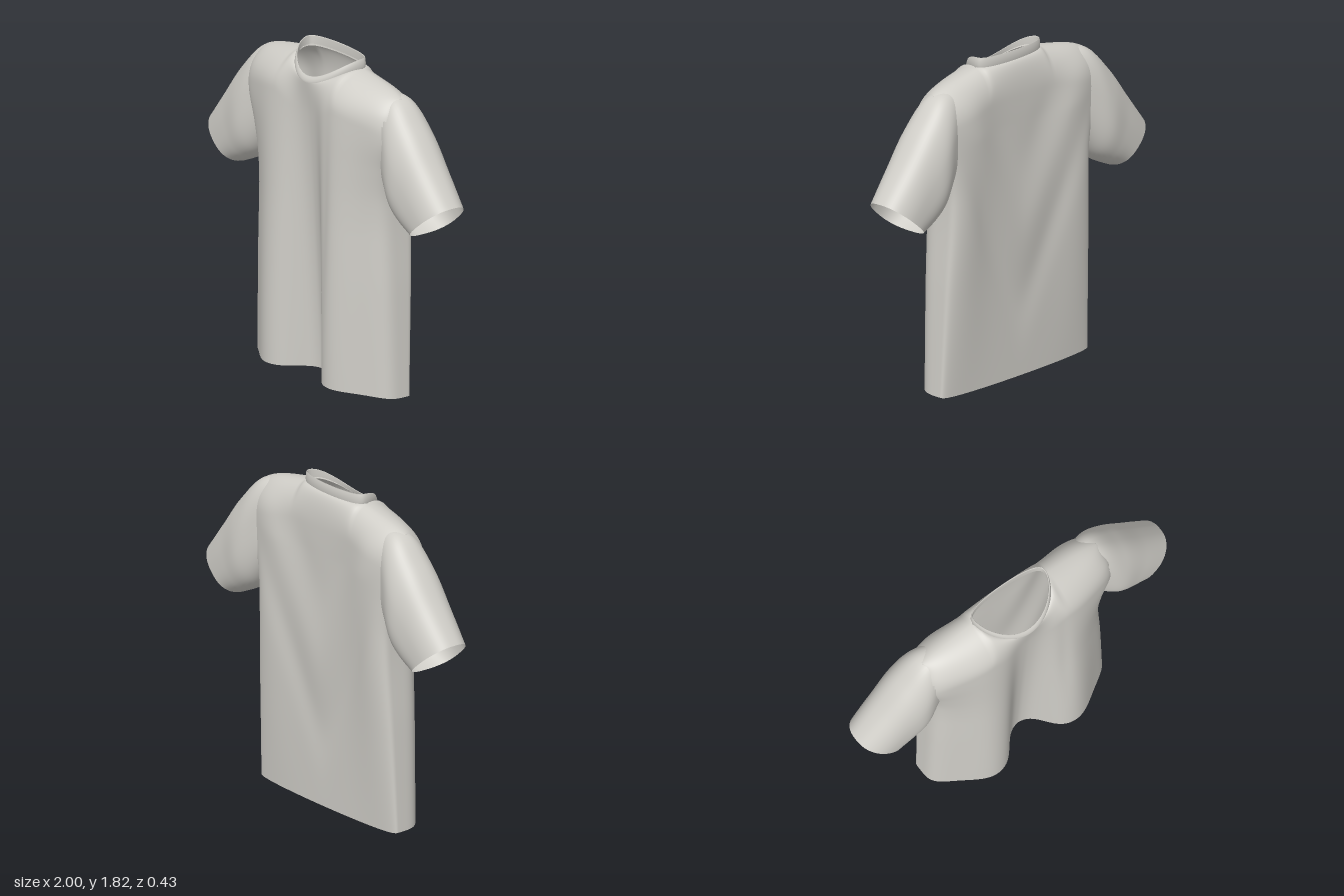
import * as THREE from 'three';
import { mergeVertices } from 'three/addons/utils/BufferGeometryUtils.js';

const { lerp, clamp, smoothstep } = THREE.MathUtils;
const bump = (x, c, w, p = 2) => Math.exp(-(Math.abs((x - c) / w) ** p));
const spow = (v, e) => Math.sign(v) * Math.abs(v) ** e;

// smooth interpolation through [key, value] pairs
function track(pairs, t) {
  let i = 0;
  while (i < pairs.length - 2 && t > pairs[i + 1][0]) i++;
  const [a, b] = [pairs[i], pairs[i + 1]];
  const k = clamp((t - a[0]) / (b[0] - a[0]), 0, 1);
  const slope = (j) => {
    const p = pairs[Math.max(j - 1, 0)], q = pairs[Math.min(j + 1, pairs.length - 1)];
    return (q[1] - p[1]) / (q[0] - p[0]) * (b[0] - a[0]);
  };
  const k2 = k * k, k3 = k2 * k;
  return (2 * k3 - 3 * k2 + 1) * a[1] + (k3 - 2 * k2 + k) * slope(i)
    + (3 * k2 - 2 * k3) * b[1] + (k3 - k2) * slope(i + 1);
}

// closed tube of cloth: point(angle, v) gives [x, y, z]; skip drops cells
function loft(cols, rows, point, skip = () => false) {
  const pos = [], index = [];
  for (let j = 0; j <= rows; j++) {
    for (let i = 0; i < cols; i++) pos.push(...point((i / cols) * Math.PI * 2, j / rows));
  }
  for (let j = 0; j < rows; j++) {
    for (let i = 0; i < cols; i++) {
      const a = j * cols + i, b = j * cols + (i + 1) % cols, c = a + cols, d = b + cols;
      if (!skip(pos[a * 3], pos[a * 3 + 1])) index.push(a, c, b, b, c, d);
    }
  }
  let geo = new THREE.BufferGeometry();
  geo.setAttribute('position', new THREE.Float32BufferAttribute(pos, 3));
  geo.setIndex(index);
  geo = mergeVertices(geo, 1e-4);
  geo.computeVertexNormals();
  return geo;
}

// neckline ring shared by the body and the collar
const NECK = 0.235, SEAM_Z = -0.04, NECK_Y = 1.768;
const neckZ = (x, front) => {
  const r = Math.sqrt(Math.max(0, 1 - (x / NECK) ** 2));
  return front ? SEAM_Z + 0.192 * r ** 1.15 : SEAM_Z - 0.07 * r ** 0.7;
};
const neckY = (z) => NECK_Y - 0.095 * Math.max(0, (z - SEAM_Z) / 0.192) ** 2.1;

const SHOULDER = 0.57, SIDE_Z = -0.07;
const WIDTH = [[0, 0.572], [0.6, 0.554], [1.1, 0.534], [1.3, 0.558], [1.47, 0.602], [1.6, 0.594], [1.69, SHOULDER], [1.9, SHOULDER]];
const FRONT = [[0, 0.13], [1, 0.148], [1.4, 0.153], [1.7, 0.155], [1.9, 0.15]];
const BACK = [[0, -0.13], [0.6, -0.142], [1, -0.148], [1.4, -0.153], [1.7, -0.156], [1.9, -0.155]];
const BLADE = [[0, 0], [0.5, 0.026], [1, 0.052], [1.4, 0.052], [1.7, 0.03], [1.9, 0.02]];

// front cloth: two hanging bulges with a deep fold between them
function frontZ(x, y, c) {
  const low = 1 - (y / 1.9) ** 1.6, fold = Math.max(0, 1 - y / 1.7) ** 0.65;
  return SIDE_Z + (track(FRONT, y) - SIDE_Z) * c ** lerp(0.5, 0.32, smoothstep(y, 0.9, 1.45))
    + 0.093 * low * bump(Math.abs(x), 0.275, 0.17) * c ** 0.3
    - 0.098 * fold * bump(x, 0, 0.13, 3)
    - 0.008 * bump(y, 1.0, 0.55) * bump(x, 0.2, 0.04);
}

// back cloth: hollow along the spine, full at the blades, with soft V drapes
function backZ(x, y, c) {
  const side = Math.abs(x), v = y - 0.2 - 2.3 * Math.hypot(x, 0.1);
  const drape = 0.009 * bump(v, 0, 0.18) - 0.008 * bump(v, 0.4, 0.2) + 0.006 * bump(v, 0.8, 0.2);
  const fade = clamp(c * 1.6 - 0.3, 0, 1) * clamp((1.68 - y) * 4, 0, 1);
  return SIDE_Z + (track(BACK, y) - SIDE_Z) * c ** 0.34
    - track(BLADE, y) * bump(side, 0.48, 0.2) * c ** 0.3 + drape * fade;
}

function bodyPoint(a, v) {
  const s = Math.cos(a), front = Math.sin(a) >= 0;
  const c = Math.abs(Math.sin(a)) < 1e-6 ? 0 : Math.abs(Math.sin(a));
  const xTop = s * SHOULDER, inNeck = Math.abs(xTop) < NECK;
  const zTop = inNeck ? neckZ(xTop, front) : SEAM_Z;
  const slope = clamp((Math.abs(xTop) - NECK) / (SHOULDER - NECK), 0, 1);
  const yTop = inNeck ? neckY(zTop) : NECK_Y - 0.06 * slope - 0.02 * slope ** 6;
  const yHem = front ? 0.012 + 0.026 * c : 0.012 - 0.012 * c;
  const y = lerp(yHem, yTop, Math.sin(v * Math.PI / 2));
  const x = s * track(WIDTH, y);
  const z = front ? frontZ(x, y, c) : backZ(x, y, c);
  const w = clamp((y - yTop + 0.19) / 0.19, 0, 1);
  return [x, y, lerp(z, zTop, 1 - Math.sqrt(1 - w * w))];
}

// rows of the collar band: [height, outward offset]
const BAND = [[-0.12, 0.002], [0.2, 0.006], [0.6, 0.005], [0.95, 0.002], [1, -0.001], [0.9, -0.004], [0.1, -0.004]];
function collarPoint(a, v) {
  const [h, out] = BAND[Math.round(v * (BAND.length - 1))];
  const x = NECK * Math.cos(a), z = neckZ(x, Math.sin(a) >= 0);
  const f = Math.max(0, (z - SEAM_Z) / 0.192);
  return [
    x + out * Math.cos(a),
    neckY(z) + h * (0.053 - 0.023 * f),
    z + out * Math.sin(a) - 0.012 * h * f,
  ];
}

// sleeve outlines: x, y and half depth along the top, x and y below
const TOP = new THREE.CatmullRomCurve3([
  [0.42, 1.7, 0.085], [0.565, 1.69, 0.13], [0.71, 1.555, 0.157], [0.86, 1.365, 0.15], [1.0, 1.19, 0.138],
].map((p) => new THREE.Vector3(...p)));
const UNDER = new THREE.CatmullRomCurve3([
  [0.46, 1.27, 0], [0.53, 1.16, 0], [0.595, 1.075, 0], [0.67, 1.02, 0], [0.752, 0.98, 0],
].map((p) => new THREE.Vector3(...p)));

const sleevePoint = (side) => (a, v) => {
  const t = TOP.getPoint(v), u = UNDER.getPoint(v);
  const k = (1 + spow(Math.cos(a), 0.85)) / 2;
  const crease = 1 + 0.04 * Math.sin(v * 9 + k * 7) * (1 - v);
  const depth = t.z * crease * (1.02 - 0.14 * Math.cos(a) * v);
  return [side * lerp(u.x, t.x, k), lerp(u.y, t.y, k), -0.052 + depth * spow(Math.sin(a), 0.8)];
};

export function createModel() {
  const group = new THREE.Group();
  const cloth = new THREE.MeshStandardMaterial({ color: 0xd0cec8, side: THREE.DoubleSide });
  cloth.name = 'pale grey cloth';
  const add = (name, geo) => {
    const mesh = new THREE.Mesh(geo, cloth);
    mesh.name = name;
    group.add(mesh);
  };

  // body, left open where the sleeves join
  const armhole = (x, y) => Math.abs(x) > 0.572 && y > 1.32 && y < 1.58;
  add('body', loft(240, 64, bodyPoint, armhole));
  add('collar', loft(120, BAND.length - 1, collarPoint));
  add('leftSleeve', loft(56, 32, sleevePoint(1)));
  add('rightSleeve', loft(56, 32, sleevePoint(-1)));
  return group;
}
